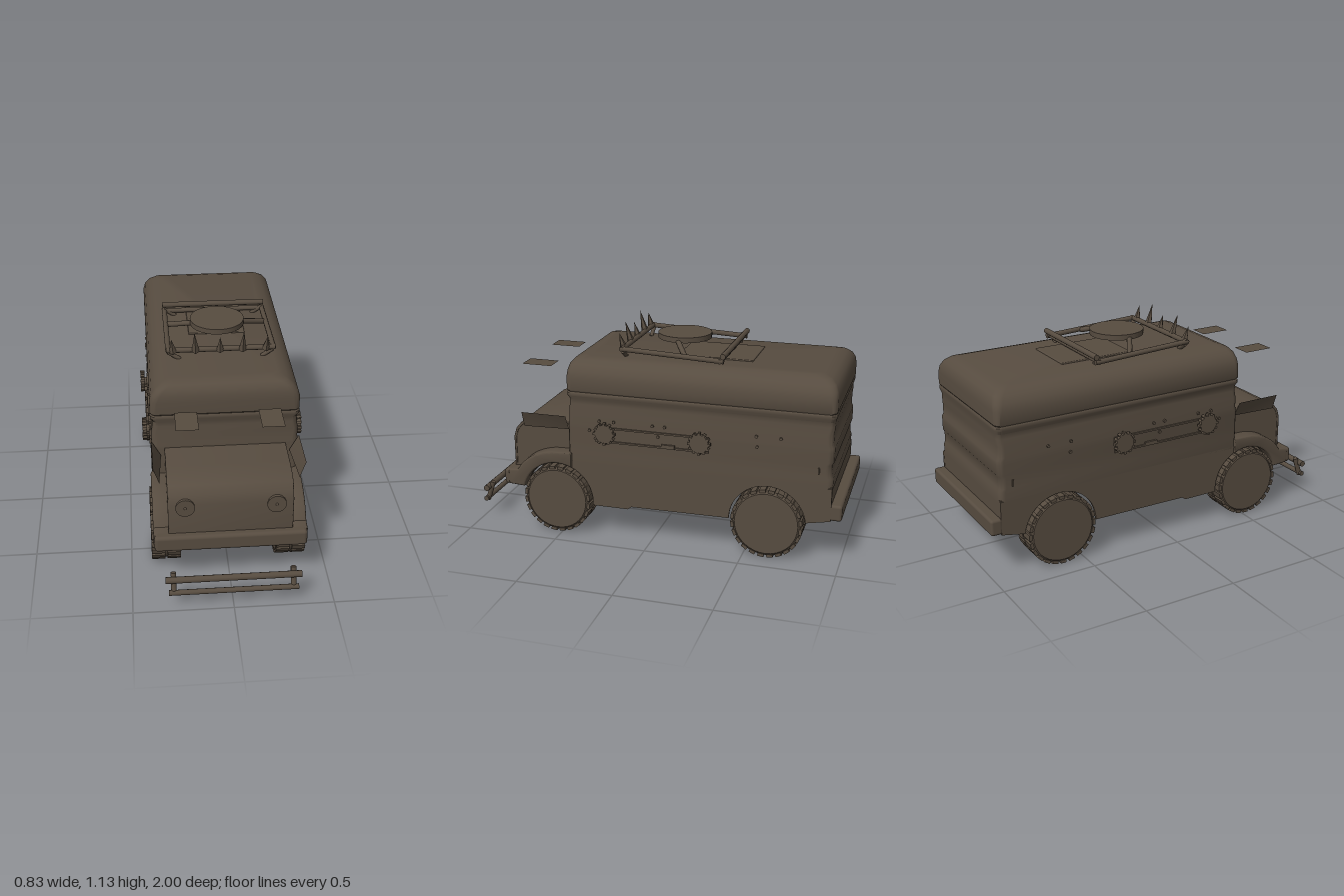
import * as THREE from 'three';
import { mergeGeometries, toCreasedNormals } from 'three/addons/utils/BufferGeometryUtils.js';
import { RoundedBoxGeometry } from 'three/addons/geometries/RoundedBoxGeometry.js';

const paint = new THREE.MeshStandardMaterial({ color: 0x574c40, side: THREE.DoubleSide });
paint.name = 'dark brown';

const WHEEL_Y = 0.188, FRONT_Z = 0.525, REAR_Z = -0.62, ARCH = 0.2;

function add(parent, name, geo, x = 0, y = 0, z = 0) {
  const m = new THREE.Mesh(geo, paint);
  m.name = name;
  m.position.set(x, y, z);
  parent.add(m);
  return m;
}

// Straight round bar between two points
function bar(parent, name, a, b, r, sides = 10) {
  const p = new THREE.Vector3(...a), q = new THREE.Vector3(...b);
  const d = q.clone().sub(p);
  const m = add(parent, name, new THREE.CylinderGeometry(r, r, d.length(), sides));
  m.position.copy(p).add(q).multiplyScalar(0.5);
  m.quaternion.setFromUnitVectors(new THREE.Vector3(0, 1, 0), d.normalize());
  return m;
}

// Side profile given as (z, y), extruded across x and centred
function extrudeX(shape, width, bevel = 0) {
  const geo = new THREE.ExtrudeGeometry(shape, {
    depth: width - 2 * bevel, curveSegments: 20, bevelEnabled: bevel > 0,
    bevelSize: bevel, bevelThickness: bevel, bevelOffset: -bevel, bevelSegments: 3,
  });
  geo.translate(0, 0, -(width - 2 * bevel) / 2).rotateY(-Math.PI / 2);
  return toCreasedNormals(geo, 0.6);
}

// Open-bottomed stack of rounded rectangles: [y, half width, front z, back z, corner radius].
// The front face is left open below openTo, where the hood joins.
function loft(levels, openTo) {
  const pos = [], idx = [], seg = 6, n = 4 * (seg + 1);
  for (const [y, w, f, b, r] of levels) {
    const corners = [[w - r, f - r], [-w + r, f - r], [-w + r, b + r], [w - r, b + r]];
    corners.forEach(([cx, cz], c) => {
      for (let i = 0; i <= seg; i++) {
        const t = (c + i / seg) * Math.PI / 2;
        pos.push(cx + r * Math.cos(t), y, cz + r * Math.sin(t));
      }
    });
  }
  for (let l = 0; l < levels.length - 1; l++)
    for (let i = 0; i < n; i++) {
      if (i === seg && levels[l + 1][0] <= openTo) continue;
      const a = l * n + i, b = l * n + (i + 1) % n;
      idx.push(a, a + n, b, b, a + n, b + n);
    }
  const top = (levels.length - 1) * n;
  for (let i = 1; i < n - 1; i++) idx.push(top, top + i + 1, top + i);
  const geo = new THREE.BufferGeometry();
  geo.setAttribute('position', new THREE.Float32BufferAttribute(pos, 3));
  geo.setIndex(idx);
  return toCreasedNormals(geo, 0.6);
}

function wheelGeometry() {
  const w = 0.15, parts = [];
  const p = [[0, -w / 2], [0.165, -w / 2], [0.179, -w / 2 + 0.012], [0.179, w / 2 - 0.012], [0.165, w / 2], [0, w / 2]];
  const tyre = new THREE.LatheGeometry(p.map(([r, h]) => new THREE.Vector2(r, h)), 36).rotateZ(Math.PI / 2);
  parts.push(toCreasedNormals(tyre, 0.5));
  // Two staggered rows of tread blocks
  for (const s of [-1, 1])
    for (let i = 0; i < 24; i++) {
      const block = new THREE.BoxGeometry(0.068, 0.016, 0.032).toNonIndexed();
      block.translate(s * 0.04, 0.179, 0).rotateX((i + (s > 0 ? 0.5 : 0)) * Math.PI / 12);
      parts.push(block);
    }
  return mergeGeometries(parts);
}

export function createModel() {
  const g = new THREE.Group();
  g.name = 'armoured van';

  // Hollow upper body with pressed ribs and a rounded roof
  add(g, 'upperBody', loft([
    [0.4, 0.375, 0.46, -0.945, 0.03], [0.46, 0.375, 0.46, -0.945, 0.03], [0.475, 0.374, 0.46, -0.938, 0.03],
    [0.53, 0.374, 0.46, -0.938, 0.03], [0.545, 0.374, 0.46, -0.946, 0.03], [0.6, 0.374, 0.46, -0.946, 0.03],
    [0.62, 0.374, 0.46, -0.946, 0.03],
    [0.635, 0.373, 0.457, -0.938, 0.03], [0.69, 0.372, 0.457, -0.938, 0.03], [0.73, 0.366, 0.453, -0.942, 0.03],
    [0.755, 0.366, 0.453, -0.942, 0.03], [0.775, 0.377, 0.462, -0.948, 0.03], [0.79, 0.377, 0.462, -0.948, 0.03],
    [0.797, 0.373, 0.458, -0.945, 0.03], [0.804, 0.377, 0.464, -0.95, 0.03], [0.87, 0.377, 0.466, -0.95, 0.035],
    [0.905, 0.367, 0.464, -0.946, 0.04], [0.935, 0.345, 0.457, -0.932, 0.04], [0.957, 0.315, 0.44, -0.905, 0.04],
    [0.97, 0.27, 0.4, -0.86, 0.04],
  ], 0.6));
  add(g, 'roofHatch', new RoundedBoxGeometry(0.3, 0.012, 0.4, 2, 0.005), 0, 0.971, -0.28);

  // Rear lower wall and rear bumper
  add(g, 'rearWall', new THREE.BoxGeometry(0.74, 0.17, 0.012), 0, 0.33, -0.938);
  add(g, 'rearBumper', new RoundedBoxGeometry(0.755, 0.085, 0.062, 3, 0.014), 0, 0.281, -0.969);

  // Hollow hood: a bent sheet over the top and front, closed by side panels
  const outer = [[0.44, 0.607], [0.62, 0.602], [0.71, 0.593], [0.755, 0.575], [0.785, 0.54], [0.8, 0.49], [0.8, 0.25]]
    .map(p => new THREE.Vector2(...p));
  const inner = [[0.785, 0.25], [0.785, 0.487], [0.772, 0.532], [0.746, 0.562], [0.707, 0.579], [0.62, 0.588], [0.44, 0.592]]
    .map(p => new THREE.Vector2(...p));
  add(g, 'hood', extrudeX(new THREE.Shape([...outer, ...inner]), 0.62, 0.005));
  const hoodSide = new THREE.Shape();
  hoodSide.moveTo(0.44, 0.605).lineTo(0.44, 0.39);
  hoodSide.absarc(FRONT_Z, WHEEL_Y, ARCH, 1.9, 0.3, true);
  inner.forEach(p => hoodSide.lineTo(p.x + 0.01, p.y + 0.01));
  add(g, 'frontBumper', new RoundedBoxGeometry(0.76, 0.088, 0.09, 3, 0.018), 0, 0.28, 0.792);

  // Side panel with both wheel arches and a stepped lower edge
  const panel = new THREE.Shape();
  panel.moveTo(0.46, 0.41).lineTo(-0.945, 0.41).lineTo(-0.945, 0.235).lineTo(-0.818, 0.21);
  panel.absarc(REAR_Z, WHEEL_Y, ARCH, Math.PI - 0.11, 0, true);
  panel.lineTo(0.11, 0.183).lineTo(0.13, 0.168).lineTo(0.326, 0.168);
  panel.absarc(FRONT_Z, WHEEL_Y, ARCH, Math.PI, 1.9, true);

  const fender = new THREE.Shape();
  fender.moveTo(0.44, 0.455);
  fender.lineTo(0.55, 0.452);
  fender.quadraticCurveTo(0.69, 0.435, 0.755, 0.33);
  fender.lineTo(0.81, 0.322).lineTo(0.81, 0.24).lineTo(0.72, 0.235);
  fender.absarc(FRONT_Z, WHEEL_Y, ARCH, 0.24, 2, false);
  const wheel = wheelGeometry();

  for (const s of [-1, 1]) {
    const side = new THREE.Group();
    side.name = s > 0 ? 'leftSide' : 'rightSide';
    g.add(side);
    add(side, 'sidePanel', extrudeX(panel, 0.012), s * 0.369);
    add(side, 'hoodSide', extrudeX(hoodSide, 0.012), s * 0.302);
    add(side, 'cabinFrontStrip', new THREE.BoxGeometry(0.055, 0.2, 0.008), s * 0.327, 0.505, 0.456);
    add(side, 'fender', extrudeX(fender, 0.085, 0.01), s * 0.3415);
    add(side, 'frontWheel', wheel, s * 0.32, WHEEL_Y, FRONT_Z);
    add(side, 'rearWheel', wheel, s * 0.32, WHEEL_Y, REAR_Z);

    // Headlight, set through the hood front
    add(side, 'headlight', new THREE.CylinderGeometry(0.048, 0.048, 0.03, 20).rotateX(Math.PI / 2), s * 0.225, 0.475, 0.791);
    add(side, 'headlightBulb', new THREE.SphereGeometry(0.008, 10, 6), s * 0.225, 0.475, 0.804);

    // Thin flat plates ahead of the windscreen and flared plates beside the hood
    add(side, 'visorPlate', new THREE.PlaneGeometry(0.11, 0.165).rotateX(-Math.PI / 2), s * 0.205, 0.89, 0.672);
    const flap = new THREE.BufferGeometry();
    flap.setAttribute('position', new THREE.Float32BufferAttribute([
      s * 0.375, 0.657, 0.72, s * 0.375, 0.657, 0.47, s * 0.328, 0.57, 0.47, s * 0.345, 0.57, 0.72], 3));
    flap.setIndex([0, 1, 2, 0, 2, 3]);
    flap.computeVertexNormals();
    add(side, 'hoodFlap', flap);

    // Side rack: rails, toothed discs and bolts
    for (const y of [0.54, 0.615]) add(side, 'rackRail', new THREE.BoxGeometry(0.014, 0.009, 0.6), s * 0.376, y, -0.005);
    for (const z of [-0.305, 0.295]) add(side, 'rackEnd', new THREE.BoxGeometry(0.014, 0.084, 0.009), s * 0.376, 0.577, z);
    add(side, 'rackLatch', new THREE.BoxGeometry(0.02, 0.02, 0.07), s * 0.376, 0.547, -0.095);
    for (const z of [-0.267, 0.243]) {
      add(side, 'discHub', new THREE.CylinderGeometry(0.02, 0.02, 0.04, 12).rotateZ(Math.PI / 2), s * 0.385, 0.592, z);
      add(side, 'disc', new THREE.CylinderGeometry(0.05, 0.05, 0.02, 20).rotateZ(Math.PI / 2), s * 0.405, 0.592, z);
      for (let i = 0; i < 12; i++) {
        const tooth = add(side, 'discTooth', new THREE.BoxGeometry(0.024, 0.012, 0.014).translate(0, 0.053, 0), s * 0.405, 0.592, z);
        tooth.rotation.x = i * Math.PI / 6;
      }
    }
    const bolts = [[0.28, 0.65], [0.2, 0.65], [-0.01, 0.65], [-0.075, 0.65], [-0.555, 0.65], [-0.68, 0.65], [0.335, 0.595], [-0.04, 0.595], [-0.56, 0.595]];
    for (const [z, y] of bolts)
      add(side, 'bolt', new THREE.CylinderGeometry(0.008, 0.008, 0.014, 8).rotateZ(Math.PI / 2), s * 0.375, y, z);
    add(side, 'handle', new THREE.BoxGeometry(0.008, 0.035, 0.008), s * 0.377, 0.5, -0.875);

    // Roof rack side bar, legs and turret strut
    bar(side, 'roofRackSide', [s * 0.27, 1.018, 0.19], [s * 0.27, 0.993, -0.355], 0.014);
    for (const z of [0.18, -0.33]) bar(side, 'roofRackLeg', [s * 0.27, 1.005, z], [s * 0.21, 0.965, z], 0.011);
    bar(side, 'turretStrut', [s * 0.26, 1.0, -0.15], [s * 0.12, 1.045, -0.07], 0.014);

    // Bull bar post
    bar(side, 'bullBarPost', [s * 0.295, 0.2, 0.948], [s * 0.295, 0.092, 0.984], 0.014);
  }

  // Axles
  for (const z of [FRONT_Z, REAR_Z]) bar(g, 'axle', [-0.3, WHEEL_Y, z], [0.3, WHEEL_Y, z], 0.024, 14);

  // Bull bar
  bar(g, 'bullBarTop', [-0.335, 0.172, 0.973], [0.335, 0.172, 0.973], 0.017);
  bar(g, 'bullBarBottom', [-0.32, 0.103, 0.985], [0.32, 0.103, 0.985], 0.014);

  // Roof rack cross bars, turret and spikes
  bar(g, 'roofRackFront', [-0.28, 1.018, 0.185], [0.28, 1.018, 0.185], 0.014);
  bar(g, 'roofRackRear', [-0.28, 0.993, -0.335], [0.28, 0.993, -0.335], 0.013);
  bar(g, 'roofRackRearUpper', [-0.28, 1.02, -0.352], [0.28, 1.02, -0.352], 0.015);
  add(g, 'turretDisc', new THREE.CylinderGeometry(0.143, 0.143, 0.028, 28), 0, 1.051, -0.078);
  [-0.245, -0.13, -0.005, 0.11, 0.23].forEach((x, i) => {
    const h = i % 2 ? 0.122 : 0.086;
    const cone = new THREE.ConeGeometry(0.022, h, 5).translate(0, h / 2, 0).toNonIndexed();
    cone.computeVertexNormals();
    const spike = add(g, 'spike', cone, x, 1.01, 0.188);
    spike.rotation.set(0.25, 0, (2 - i) * 0.05);
  });
  return g;
}
